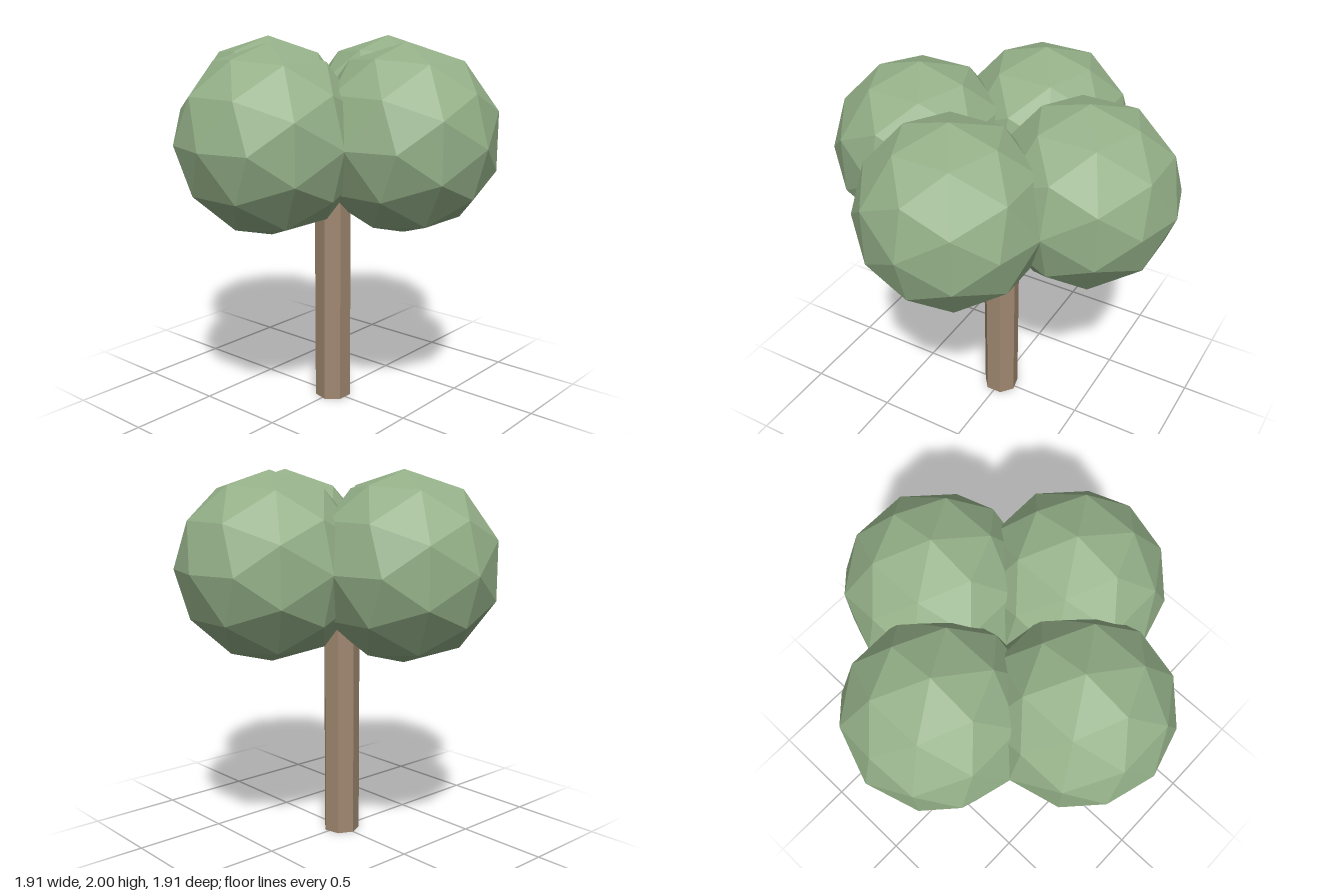
import * as THREE from 'three';

export function createModel() {
  const tree = new THREE.Group();
  tree.name = 'tree';

  const bark = new THREE.MeshStandardMaterial({ color: 0xa08870, flatShading: true });
  bark.name = 'bark brown';
  const leaf = new THREE.MeshStandardMaterial({ color: 0x94b088, flatShading: true });
  leaf.name = 'leaf green';

  // Seven-sided trunk with a flat side to the front, running up into the crown
  const trunkHeight = 1.3;
  const trunk = new THREE.Mesh(
    new THREE.CylinderGeometry(0.1, 0.1, trunkHeight, 7, 1, false, Math.PI),
    bark
  );
  trunk.name = 'trunk';
  trunk.position.y = trunkHeight / 2;
  tree.add(trunk);

  // Crown of four faceted balls that meet over the trunk
  const radius = 0.48;
  const offset = 0.475;
  const ball = new THREE.IcosahedronGeometry(radius, 1);
  const crown = new THREE.Group();
  crown.name = 'crown';
  crown.position.y = 2 - radius;
  for (const [name, x, z] of [
    ['foliageLeft', 1, 0],
    ['foliageRight', -1, 0],
    ['foliageFront', 0, 1],
    ['foliageBack', 0, -1],
  ]) {
    const foliage = new THREE.Mesh(ball, leaf);
    foliage.name = name;
    foliage.position.set(x * offset, 0, z * offset);
    crown.add(foliage);
  }
  tree.add(crown);

  return tree;
}
